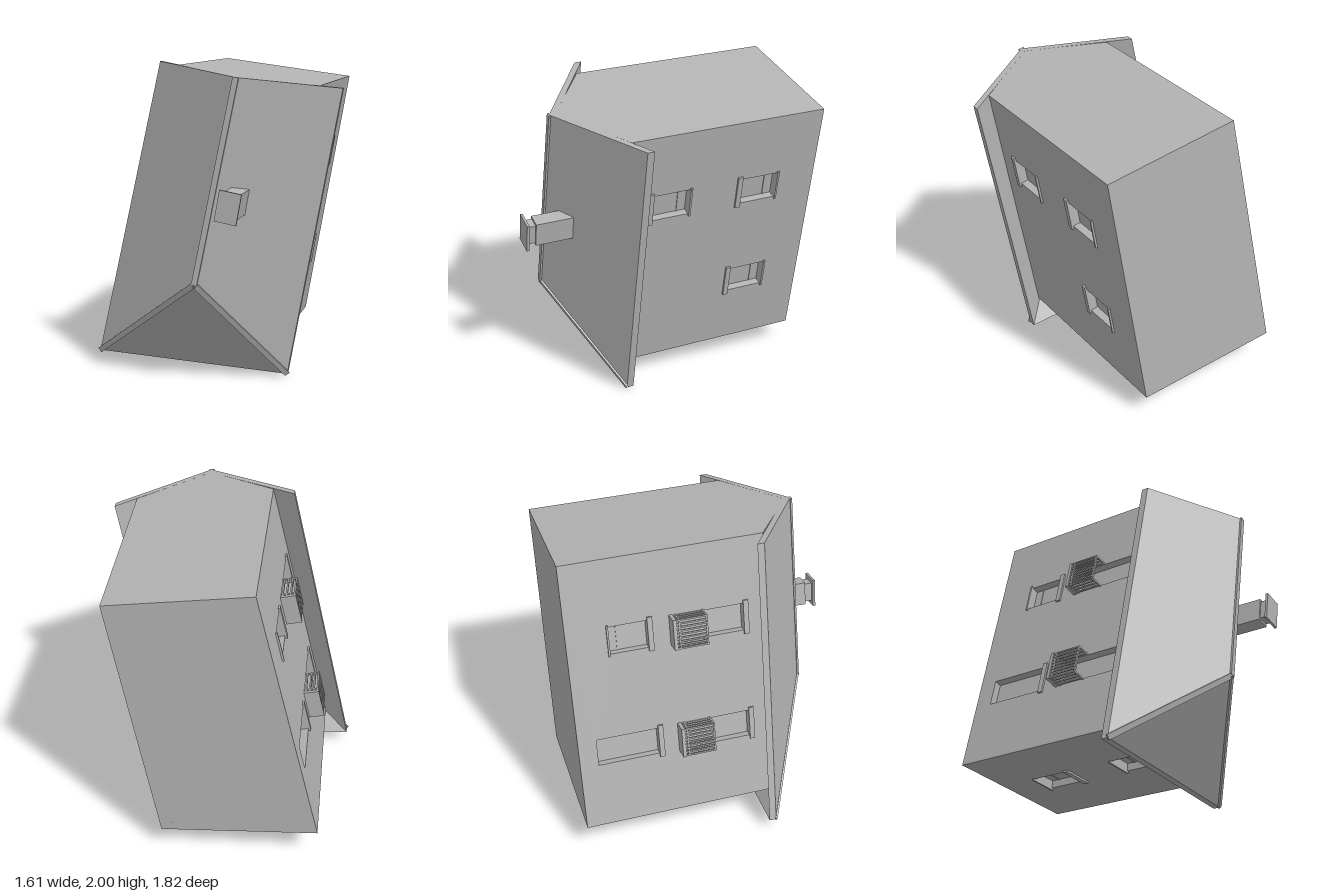
import * as THREE from 'three';

const grey = new THREE.MeshStandardMaterial({ color: 0xb3b3b3 });
grey.name = 'plain grey';

const FLOOR = -0.91, EAVE = 0.37, T = 0.06;

function add(parent, name, geometry) {
  const mesh = new THREE.Mesh(geometry, grey);
  mesh.name = name;
  parent.add(mesh);
  return mesh;
}

// Box given by its limits on each axis
function block(parent, name, x0, x1, y0, y1, z0, z1) {
  const mesh = add(parent, name, new THREE.BoxGeometry(x1 - x0, y1 - y0, z1 - z0));
  mesh.position.set((x0 + x1) / 2, (y0 + y1) / 2, (z0 + z1) / 2);
  return mesh;
}

// Recessed pane, lintel and sill, in wall coordinates (x along, y up the house, z out)
function addOpening(wall, { u, v0, v1, kind }) {
  const g = new THREE.Group();
  g.name = kind;
  g.position.x = u;
  wall.add(g);
  block(g, 'pane', -0.1, 0.1, v0 - 0.01, v1 + 0.01, -0.06, -0.05);
  block(g, 'lintel', -0.113, 0.113, v1, v1 + 0.033, -0.02, 0.013);
  if (kind === 'window') {
    block(g, 'sill', -0.103, 0.103, v0 - 0.006, v0 + 0.006, -0.05, 0.013);
    block(g, 'transom', -0.09, 0.09, v0 + 0.06, v0 + 0.066, -0.05, -0.045);
  }
  if (kind === 'balconyWindow') addBalcony(g);
}

// Small railed balcony
function addBalcony(parent) {
  const g = new THREE.Group();
  g.name = 'balcony';
  parent.add(g);
  const w = 0.1, d = 0.095, r = 0.005;
  block(g, 'balconyFloor', -w, w, -0.26, -0.238, 0, d + 0.003);
  for (const [v0, v1] of [[-0.225, -0.215], [-0.05, -0.04]]) {
    block(g, 'frontRail', -w, w, v0, v1, d - 0.012, d);
    for (const s of [-1, 1]) {
      const x = s * (w - 0.006);
      block(g, 'sideRail', x - 0.006, x + 0.006, v0, v1, 0, d);
    }
  }
  const bar = (x, z) => block(g, 'baluster', x - r, x + r, -0.24, -0.045, z - r, z + r);
  for (let i = 0; i < 9; i++) bar((i / 4 - 1) * (w - 0.006), d - 0.006);
  for (let i = 0; i < 3; i++) for (const s of [-1, 1]) bar(s * (w - 0.006), 0.012 + i * 0.026);
}

// Wall from corner a to corner b, with openings cut through
function addWall(parent, name, a, b, openings, apex) {
  const along = new THREE.Vector3(b[0] - a[0], b[1] - a[1], 0);
  const len = along.length();
  along.normalize();
  const up = new THREE.Vector3(0, 0, 1);
  const wall = new THREE.Group();
  wall.name = name;
  new THREE.Matrix4().makeBasis(along, up, along.clone().cross(up))
    .setPosition(a[0], a[1], 0)
    .decompose(wall.position, wall.quaternion, wall.scale);
  parent.add(wall);

  const outline = [[0, FLOOR], [len, FLOOR], [len, EAVE]];
  if (apex) outline.push(apex);
  outline.push([0, EAVE]);
  const shape = new THREE.Shape(outline.map(p => new THREE.Vector2(...p)));
  for (const o of openings) {
    const pts = [[-1, o.v0], [-1, o.v1], [1, o.v1], [1, o.v0]];
    shape.holes.push(new THREE.Path(pts.map(([s, v]) => new THREE.Vector2(o.u + s * 0.09, v))));
    addOpening(wall, o);
  }
  const geo = new THREE.ExtrudeGeometry(shape, { depth: T, bevelEnabled: false });
  geo.translate(0, 0, -T);
  // mitre the inner edge at both corners
  const p = geo.attributes.position;
  for (let i = 0; i < p.count; i++) {
    if (p.getZ(i) < -T / 2) p.setX(i, THREE.MathUtils.clamp(p.getX(i), T, len - T));
  }
  geo.computeVertexNormals();
  add(wall, name + 'Panel', geo);
}

// Sloped slab roof with one hipped end
function addRoof(parent) {
  const TL = [-0.36, 2.0, 0.33], BL = [-0.79, 0.095, 0.33], BR = [0.47, 0.017, 0.33];
  const TR = [0.803, 1.845, 0.33], RT = [0.22, 1.9225, 0.715], RB = [-0.035, 0.66, 0.735];
  const low = q => [q[0], q[1], q[2] - 0.045];
  const tris = [];
  const face = (...c) => {
    for (let i = 1; i < c.length - 1; i++) tris.push(...c[0], ...c[i], ...c[i + 1]);
  };
  for (const f of [[TL, BL, RB, RT], [RT, RB, BR, TR], [BL, BR, RB]]) {
    face(...f);
    face(...f.map(low).reverse());
  }
  const rim = [TL, BL, BR, TR, RT];
  rim.forEach((a, i) => {
    const b = rim[(i + 1) % rim.length];
    face(low(a), low(b), b, a);
  });
  const geo = new THREE.BufferGeometry();
  geo.setAttribute('position', new THREE.Float32BufferAttribute(tris, 3));
  geo.computeVertexNormals();
  add(parent, 'roof', geo);

  // capping strips on the ridge and hips
  for (const [name, p, q] of [['ridgeCap', RT, RB], ['hipCapRight', BL, RB], ['hipCapLeft', BR, RB]]) {
    const a = new THREE.Vector3(...p), b = new THREE.Vector3(...q);
    const dir = b.clone().sub(a);
    const cap = add(parent, name, new THREE.BoxGeometry(0.036, 0.012, dir.length()));
    dir.normalize();
    const side = new THREE.Vector3(0, 0, 1).cross(dir).normalize();
    cap.quaternion.setFromRotationMatrix(
      new THREE.Matrix4().makeBasis(side, dir.clone().cross(side), dir));
    cap.position.copy(a).add(b).multiplyScalar(0.5);
  }
}

export function createModel() {
  const house = new THREE.Group();
  house.name = 'house';

  // Footprint corners, counter-clockwise
  const tl = [-0.22, 1.981], bl = [-0.63, 0.224], br = [0.372, 0.165], tr = [0.67, 1.862];
  const win = (u, v0) => ({ u, v0, v1: v0 + 0.25, kind: 'window' });
  const balcony = u => ({ u, v0: -0.235, v1: 0.217, kind: 'balconyWindow' });

  addWall(house, 'balconyWall', tl, bl, [
    win(0.528, -0.65), { u: 1.276, v0: -0.79, v1: -0.39, kind: 'door' },
    balcony(0.528), balcony(1.276)]);
  addWall(house, 'hipEndWall', bl, br, [win(0.502, -0.65), win(0.502, -0.05)]);
  addWall(house, 'windowWall', br, tr, [win(0.503, -0.65), win(1.213, -0.65), win(1.213, -0.05)]);
  addWall(house, 'gableWall', tr, tl, [], [0.454, 0.675]);

  // Base slab
  const base = new THREE.Shape([tl, bl, br, tr].map(c => new THREE.Vector2(...c)));
  add(house, 'baseSlab', new THREE.ExtrudeGeometry(base, { depth: 0.04, bevelEnabled: false }))
    .position.z = FLOOR;

  addRoof(house);

  // Chimney
  const chimney = new THREE.Group();
  chimney.name = 'chimney';
  chimney.position.set(0.217, 1.17, 0);
  chimney.rotation.z = -0.18;
  house.add(chimney);
  block(chimney, 'chimneyStack', -0.049, 0.049, -0.08, 0.08, 0.6, 0.843);
  block(chimney, 'chimneyNeck', -0.039, 0.039, -0.065, 0.065, 0.84, 0.895);
  block(chimney, 'chimneyCap', -0.068, 0.068, -0.095, 0.095, 0.892, 0.908);

  return house;
}
